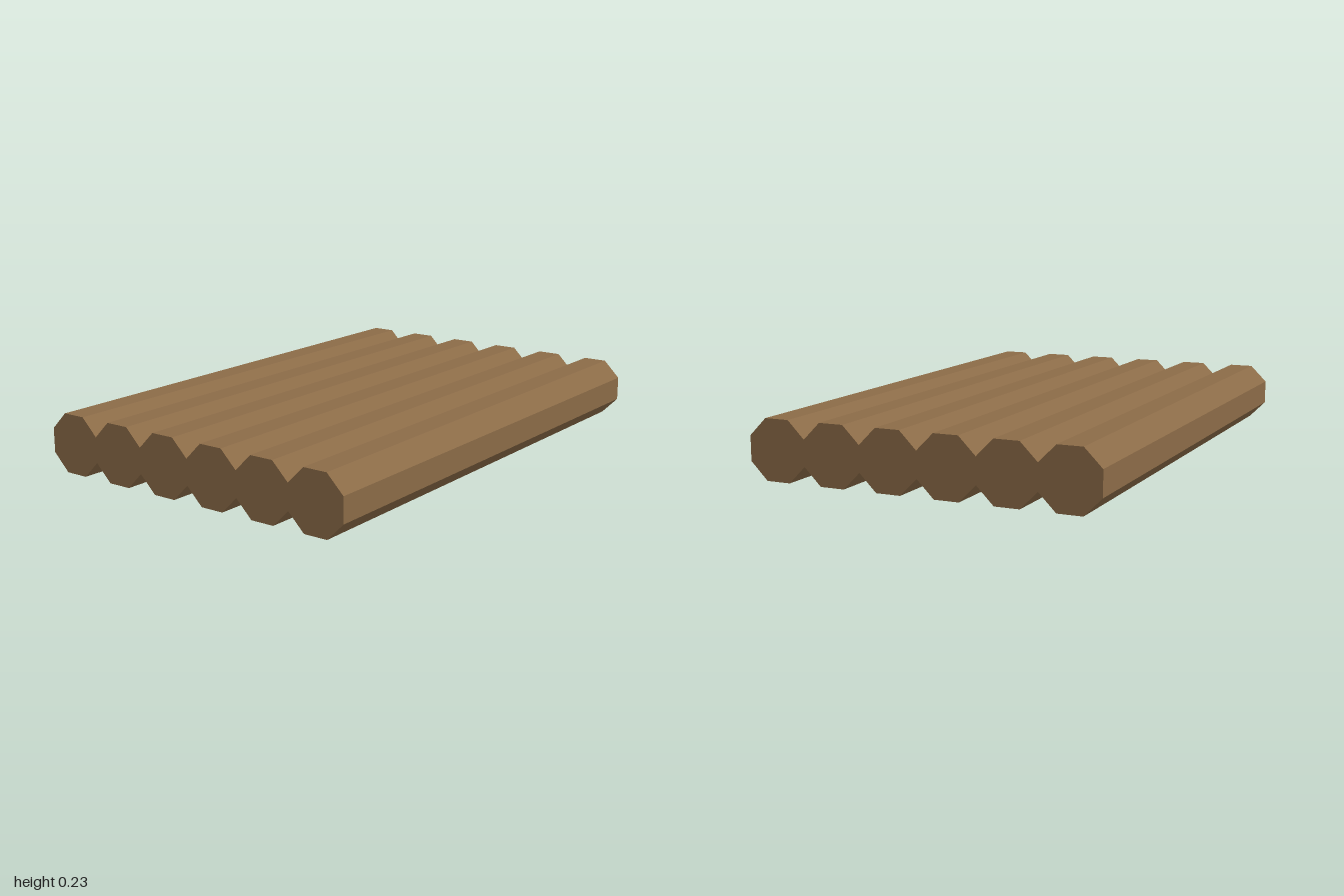
import * as THREE from 'three';

export function createModel() {
  const model = new THREE.Group();
  model.name = 'logRaft';

  const logCount = 6;
  const logHeight = 0.23; // flat to flat
  const spacing = 0.2265; // neighbours just overlap
  const radius = logHeight / 2 / Math.cos(Math.PI / 8);

  const wood = new THREE.MeshStandardMaterial({ color: 0x8b6b47, flatShading: true });

  // Octagonal log along x, turned so a flat side rests on the ground
  const logGeometry = new THREE.CylinderGeometry(radius, radius, 2, 8);
  logGeometry.rotateY(Math.PI / 8);
  logGeometry.rotateZ(Math.PI / 2);

  // Row of logs side by side
  for (let i = 0; i < logCount; i++) {
    const log = new THREE.Mesh(logGeometry, wood);
    log.name = `log${i + 1}`;
    log.position.set(0, logHeight / 2, (i - (logCount - 1) / 2) * spacing);
    model.add(log);
  }

  return model;
}
